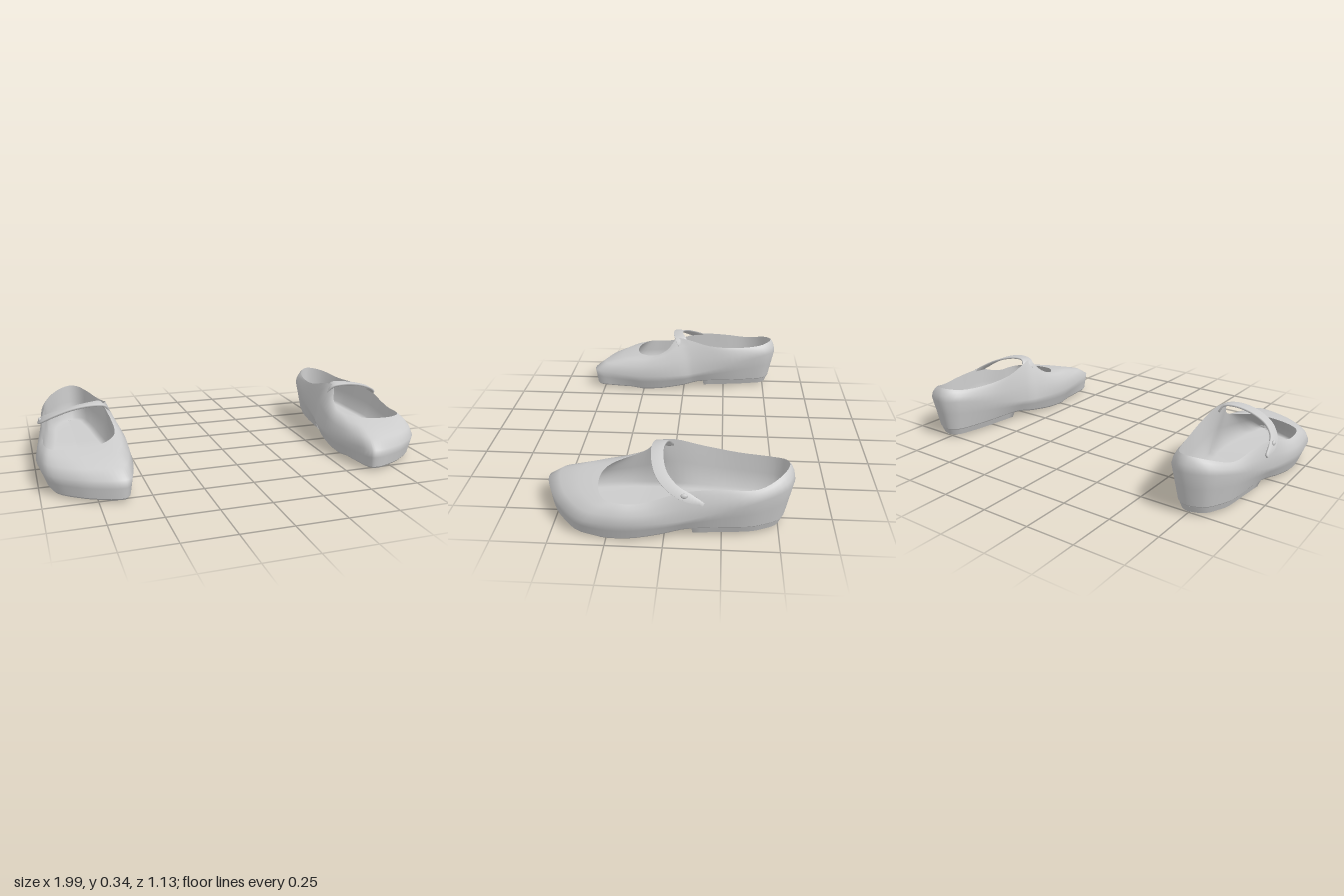
import * as THREE from 'three';
import { mergeGeometries } from 'three/addons/utils/BufferGeometryUtils.js';

const V = (x, y, z) => new THREE.Vector3(x, y, z);
const lerp = THREE.MathUtils.lerp;
const N = 88;
const MID = 0.775; // lengthwise axis of the left shoe

// Stations from the heel, along the outer side to the toe and back along the inner side:
// widest outline x, z, then opening edge x, y, z
const STATIONS = [
  [.76, -.567, .76, .29, -.54], [.855, -.53, .835, .275, -.5], [.925, -.4, .9, .245, -.4],
  [.945, -.24, .921, .252, -.24], [.963, -.08, .942, .245, -.08], [.985, .03, .952, .203, .05],
  [.996, .13, .956, .187, .12], [.99, .24, .954, .187, .19], [.96, .365, .935, .188, .245],
  [.84, .48, .87, .19, .285], [.745, .532, .77, .195, .298], [.65, .56, .7, .2, .283],
  [.61, .55, .655, .205, .25], [.575, .44, .622, .212, .2], [.55, .29, .611, .225, .155],
  [.542, .15, .617, .257, .1], [.56, 0, .642, .323, .04], [.58, -.06, .625, .322, -.025],
  [.6, -.19, .615, .287, -.16], [.62, -.35, .637, .27, -.32], [.66, -.51, .675, .275, -.47],
  [.71, -.558, .715, .287, -.527],
];

// Piecewise linear lookup through [z, value] pairs in rising z
function along(pairs, z) {
  if (z <= pairs[0][0]) return pairs[0][1];
  for (let i = 1; i < pairs.length; i++) {
    const [a, va] = pairs[i - 1], [b, vb] = pairs[i];
    if (z <= b) return lerp(va, vb, (z - a) / (b - a));
  }
  return pairs[pairs.length - 1][1];
}
const soleY = z => along([[-.1, .045], [0, .028], [.14, .009], [.26, 0], [.33, .011], [.56, .014]], z);
const wideY = z => along([[-.5, .22], [-.3, .17], [-.1, .115], [.3, .1], [.56, .115]], z);
const insoleY = z => along([[-.5, .1], [-.1, .085], [.1, .06], [.5, .045]], z);
const axisX = z => along([[.3, MID], [.45, .715], [.52, .665], [.56, .635]], z);

// Closed smooth ring through the station points
function ring(points) {
  const curve = new THREE.CatmullRomCurve3(points, true);
  return Array.from({ length: N }, (_, i) => curve.getPoint(i / N));
}

// Skin over a stack of closed rings
function loft(rings) {
  const n = rings[0].length, index = [];
  for (let r = 0; r < rings.length - 1; r++) {
    for (let i = 0; i < n; i++) {
      const j = (i + 1) % n, a = r * n + i, b = r * n + j;
      index.push(a, a + n, b, b, a + n, b + n);
    }
  }
  const g = new THREE.BufferGeometry().setFromPoints(rings.flat());
  g.setIndex(index);
  g.computeVertexNormals();
  return g;
}

// Move a point towards the shoe's axis and set its height
function inset(p, d, y) {
  const z = THREE.MathUtils.clamp(p.z, -.4, .4);
  const dir = V(axisX(z) - p.x, 0, z - p.z).normalize();
  return V(p.x + dir.x * d, y, p.z + dir.z * d);
}
const spine = (points, yOf) => points.map(p => V(axisX(p.z), yOf(p.z), p.z));

// All parts of the left shoe as [name, geometry]
function shoeParts() {
  const wide = ring(STATIONS.map(s => V(s[0], wideY(s[1]), s[1])));
  const top = ring(STATIONS.map(s => V(s[2], s[3], s[4])));
  const blend = (f, fy) => wide.map((w, i) =>
    V(lerp(w.x, top[i].x, f), lerp(w.y, top[i].y, fy), lerp(w.z, top[i].z, f)));
  const edgeInset = p => along([[.3, .035], [.5, .015]], p.z);

  // Outer shell
  const base = wide.map(p => inset(p, edgeInset(p), soleY(p.z) + .008));
  const low = wide.map((p, i) => base[i].clone().lerp(p, .55));
  const upper = loft([base, low, wide, blend(.22, .48), blend(.6, .82), top]);

  // Lining and insole
  const foot = wide.map(p => inset(p, .035, insoleY(p.z)));
  const half = top.map((p, i) => p.clone().lerp(foot[i], .5));
  const floor = foot.map(p => inset(p, .035, insoleY(p.z) - .005));
  const lining = loft([top, half, foot, floor, spine(floor, z => insoleY(z) - .008)]);

  // Sole with a slightly rounded rim
  const rim = wide.map(p => inset(p, edgeInset(p) + .007, soleY(p.z)));
  const sole = mergeGeometries([loft([spine(rim, soleY), rim]), loft([rim, base])]);

  // Low heel block
  const rear = wide.filter(p => p.z < -.1);
  const heelTop = rear.map(p => inset(p, .036, .056));
  const heelLow = rear.map(p => {
    const q = inset(p, .052, .015);
    q.z = Math.min(q.z, -.125);
    return q;
  });
  const heel = mergeGeometries([loft([heelLow, heelTop]), loft([spine(heelLow, () => .015), heelLow])]);

  // Instep strap: flat band swept from the inner flap to the outer side
  const path = new THREE.CatmullRomCurve3([
    V(.625, .29, .005), V(.645, .322, .022), V(.7, .33, .038), V(.79, .318, .036),
    V(.88, .286, .008), V(.935, .25, -.05), V(.953, .226, -.11), V(.958, .2, -.172),
  ]);
  const bands = [];
  for (let i = 0; i <= 32; i++) {
    const t = i / 32, p = path.getPoint(t), tan = path.getTangent(t);
    const out = V(p.x - MID, p.y - .1, 0).normalize();
    const side = V().crossVectors(tan, out).normalize();
    const up = V().crossVectors(side, tan).normalize().multiplyScalar(.005);
    side.multiplyScalar(along([[0, .034], [.3, .028], [.55, .026], [.85, .02], [1, .008]], t));
    const corner = (a, b) => p.clone().addScaledVector(side, a).addScaledVector(up, b);
    const section = [corner(-1, -1), corner(1, -1), corner(1, 1), corner(-1, 1)];
    if (i === 0) bands.push(section.map(() => p.clone()));
    bands.push(section);
    if (i === 32) bands.push(section.map(() => p.clone()));
  }
  const strap = loft(bands);

  // Button fastening on the outer side
  const button = new THREE.SphereGeometry(1, 12, 8).scale(.009, .012, .016).translate(.954, .236, -.09);

  return [['upper', upper], ['lining', lining], ['sole', sole], ['heel', heel],
    ['strap', strap], ['button', button]];
}

// Mirror across x = 0, turning the faces round again
function mirrored(geometry) {
  const g = geometry.clone().scale(-1, 1, 1), idx = g.index.array;
  for (let i = 0; i < idx.length; i += 3) [idx[i + 1], idx[i + 2]] = [idx[i + 2], idx[i + 1]];
  g.computeVertexNormals();
  return g;
}

export function createModel() {
  const model = new THREE.Group();
  model.name = 'pairOfShoes';
  const grey = new THREE.MeshStandardMaterial({ color: 0xcccccc, side: THREE.DoubleSide });
  grey.name = 'lightGrey';
  const parts = shoeParts();
  for (const name of ['leftShoe', 'rightShoe']) {
    const shoe = new THREE.Group();
    shoe.name = name;
    for (const [part, geometry] of parts) {
      const mesh = new THREE.Mesh(name === 'leftShoe' ? geometry : mirrored(geometry), grey);
      mesh.name = part;
      shoe.add(mesh);
    }
    model.add(shoe);
  }
  return model;
}
